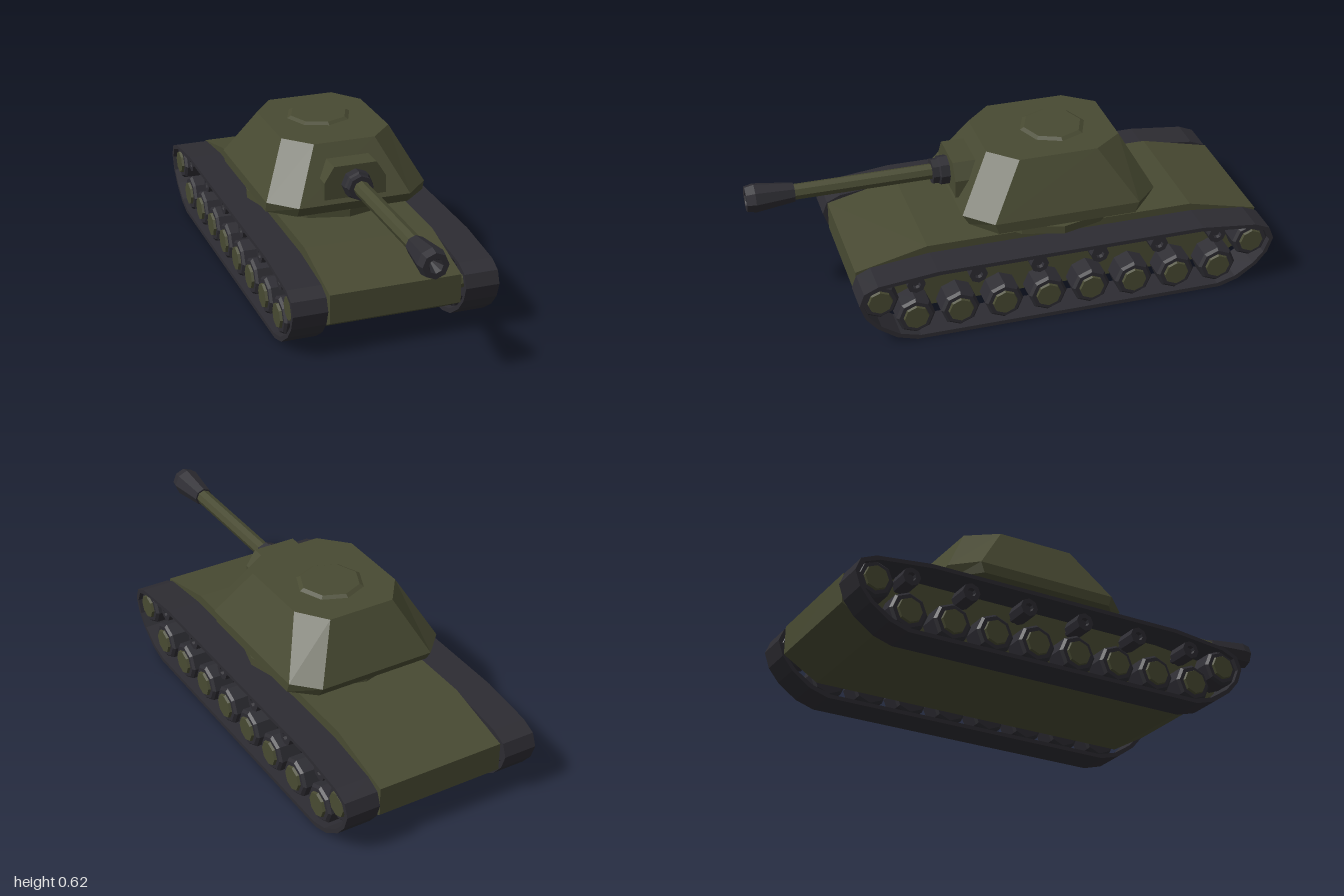
import * as THREE from 'three';

const green = new THREE.MeshStandardMaterial({ color: 0x484a32, flatShading: true });
const dark = new THREE.MeshStandardMaterial({ color: 0x2d2c32, flatShading: true });

function add(parent, name, geometry, material, x = 0, y = 0, z = 0) {
  const mesh = new THREE.Mesh(geometry, material);
  mesh.name = name;
  mesh.position.set(x, y, z);
  parent.add(mesh);
  return mesh;
}

const toShape = (pts) => new THREE.Shape(pts.map(([a, b]) => new THREE.Vector2(a, b)));

// Extrudes a (z, y) side profile across x, centred on x = 0
function sideExtrude(shape, width) {
  return new THREE.ExtrudeGeometry(shape, { depth: width, bevelEnabled: false })
    .translate(0, 0, -width / 2)
    .rotateY(-Math.PI / 2);
}

// Eight-sided lathe from [radius, distance] pairs, turned to run along x or z
const lathe = (pts) => new THREE.LatheGeometry(pts.map(([r, d]) => new THREE.Vector2(r, d)), 8);
const latheX = (pts) => lathe(pts).rotateZ(-Math.PI / 2);
const latheZ = (pts) => lathe(pts).rotateX(Math.PI / 2);

// Chamfered rectangle: half width, inner half widths and z limits
function turretLoop(y, w, wf, wb, front, frontSide, backSide, back) {
  return [
    [-wf, y, front], [wf, y, front], [w, y, frontSide], [w, y, backSide],
    [wb, y, back], [-wb, y, back], [-w, y, backSide], [-w, y, frontSide],
  ];
}

// Skins stacked loops and caps both ends
function loft(loops) {
  const n = loops[0].length;
  const index = [];
  for (let k = 0; k < loops.length - 1; k++) {
    for (let i = 0; i < n; i++) {
      const j = (i + 1) % n;
      const a = k * n + i, b = k * n + j;
      index.push(a, b, b + n, a, b + n, a + n);
    }
  }
  const t = (loops.length - 1) * n;
  for (let i = 1; i < n - 1; i++) index.push(t, t + i, t + i + 1, 0, i + 1, i);
  const g = new THREE.BufferGeometry();
  g.setAttribute('position', new THREE.Float32BufferAttribute(loops.flat(2), 3));
  g.setIndex(index);
  const flat = g.toNonIndexed();
  flat.computeVertexNormals();
  return flat;
}

function buildTrack(side) {
  const group = new THREE.Group();
  group.name = side > 0 ? 'leftRunningGear' : 'rightRunningGear';

  // Thin closed track band, counter-clockwise so the inner walls face inward
  const outer = [
    [0.445, 0], [0.525, 0.024], [0.6, 0.078], [0.643, 0.13], [0.664, 0.19], [0.645, 0.24], [0.59, 0.265],
    [0.36, 0.29], [-0.7, 0.29], [-0.92, 0.265], [-0.98, 0.24], [-1, 0.19], [-0.979, 0.13],
    [-0.937, 0.078], [-0.862, 0.024], [-0.787, 0],
  ];
  const band = toShape(outer);
  const inner = outer.map(([z, y]) => new THREE.Vector2(-0.168 + (z + 0.168) * 0.98, 0.147 + (y - 0.147) * 0.89));
  band.holes.push(new THREE.Path(inner));
  add(group, 'track', sideExtrude(band, 0.135), dark, side * 0.338);

  // Every wheel is modelled with its outer end towards +x
  const wheelGroup = (name, y, z) => {
    const g = new THREE.Group();
    g.name = name;
    g.position.set(side * 0.338, y, z);
    g.rotation.y = side > 0 ? 0 : Math.PI;
    group.add(g);
    return g;
  };

  // Wheel: dark tyre, green hub and an axle into the hull
  const wheel = (name, y, z, r) => {
    const g = wheelGroup(name, y, z);
    add(g, 'tyre', latheX([[0, -0.05], [r - 0.01, -0.05], [r, -0.04], [r, 0.04], [r - 0.01, 0.05], [0, 0.05]]), dark);
    add(g, 'hub', latheX([[0, 0.045], [r * 0.68, 0.045], [r * 0.62, 0.06], [0, 0.06]]), green);
    add(g, 'axle', latheX([[0.027, -0.1], [0.027, -0.04]]), green);
  };
  for (let i = 0; i < 8; i++) wheel('roadWheel', 0.092, 0.445 - i * 0.1746, 0.076);
  wheel('frontWheel', 0.186, 0.582, 0.074);
  wheel('rearWheel', 0.186, -0.912, 0.074);

  // Small return rollers with dished ends
  const profile = [[0, -0.045], [0.036, -0.045], [0.036, 0.045], [0.017, 0.045], [0.014, 0.03], [0, 0.03]];
  for (let i = 0; i < 6; i++) {
    const g = wheelGroup('returnRoller', 0.232, 0.44 - i * 0.242);
    add(g, 'roller', latheX(profile), dark);
    add(g, 'rollerAxle', latheX([[0.013, -0.1], [0.013, -0.04]]), dark);
  }
  return group;
}

function buildTurret() {
  const group = new THREE.Group();
  group.name = 'turret';

  // Twelve-sided ring and collar
  add(group, 'turretRing', new THREE.CylinderGeometry(0.318, 0.318, 0.032, 12).rotateY(Math.PI / 2), green, 0, 0.326, -0.163);
  add(group, 'turretCollar', new THREE.CylinderGeometry(0.265, 0.28, 0.024, 12).rotateY(Math.PI / 2), green, 0, 0.352, -0.163);

  // Faceted shell
  add(group, 'turretShell', loft([
    turretLoop(0.36, 0.325, 0.226, 0.236, 0.19, 0.1, -0.445, -0.525),
    turretLoop(0.402, 0.325, 0.226, 0.236, 0.216, 0.115, -0.46, -0.552),
    turretLoop(0.606, 0.221, 0.124, 0.135, 0.093, -0.01, -0.32, -0.435),
  ]), green);
  add(group, 'hatch', new THREE.CylinderGeometry(0.115, 0.133, 0.01, 8), green, 0, 0.61, -0.21);

  // Gun mantlet
  const mantlet = toShape([[-0.125, 0.422], [0.125, 0.422], [0.125, 0.492], [0.086, 0.554], [-0.086, 0.554], [-0.125, 0.492]]);
  add(group, 'mantlet', new THREE.ExtrudeGeometry(mantlet, { depth: 0.19, bevelEnabled: false }), green, 0, 0, 0.025);

  // Gun
  const y = 0.48;
  add(group, 'gunCollar', latheZ([[0.058, 0.2], [0.058, 0.25], [0.05, 0.255], [0.05, 0.28], [0, 0.28]]), dark, 0, y);
  add(group, 'barrel', latheZ([[0.031, 0.25], [0.031, 0.84]]), green, 0, y);
  add(group, 'muzzle', latheZ([[0, 0.815], [0.038, 0.815], [0.057, 0.965], [0.05, 1], [0.028, 1], [0, 0.93]]), dark, 0, y);
  return group;
}

export function createModel() {
  const model = new THREE.Group();
  model.name = 'tank';

  // Hull with sloped decks and chamfered belly
  const hull = toShape([
    [0.645, 0.13], [0.645, 0.245], [0.365, 0.312], [-0.7, 0.312], [-0.98, 0.245],
    [-0.98, 0.13], [-0.84, 0.045], [0.5, 0.045],
  ]);
  add(model, 'hull', sideExtrude(hull, 0.516), green);

  model.add(buildTrack(1), buildTrack(-1), buildTurret());
  return model;
}
